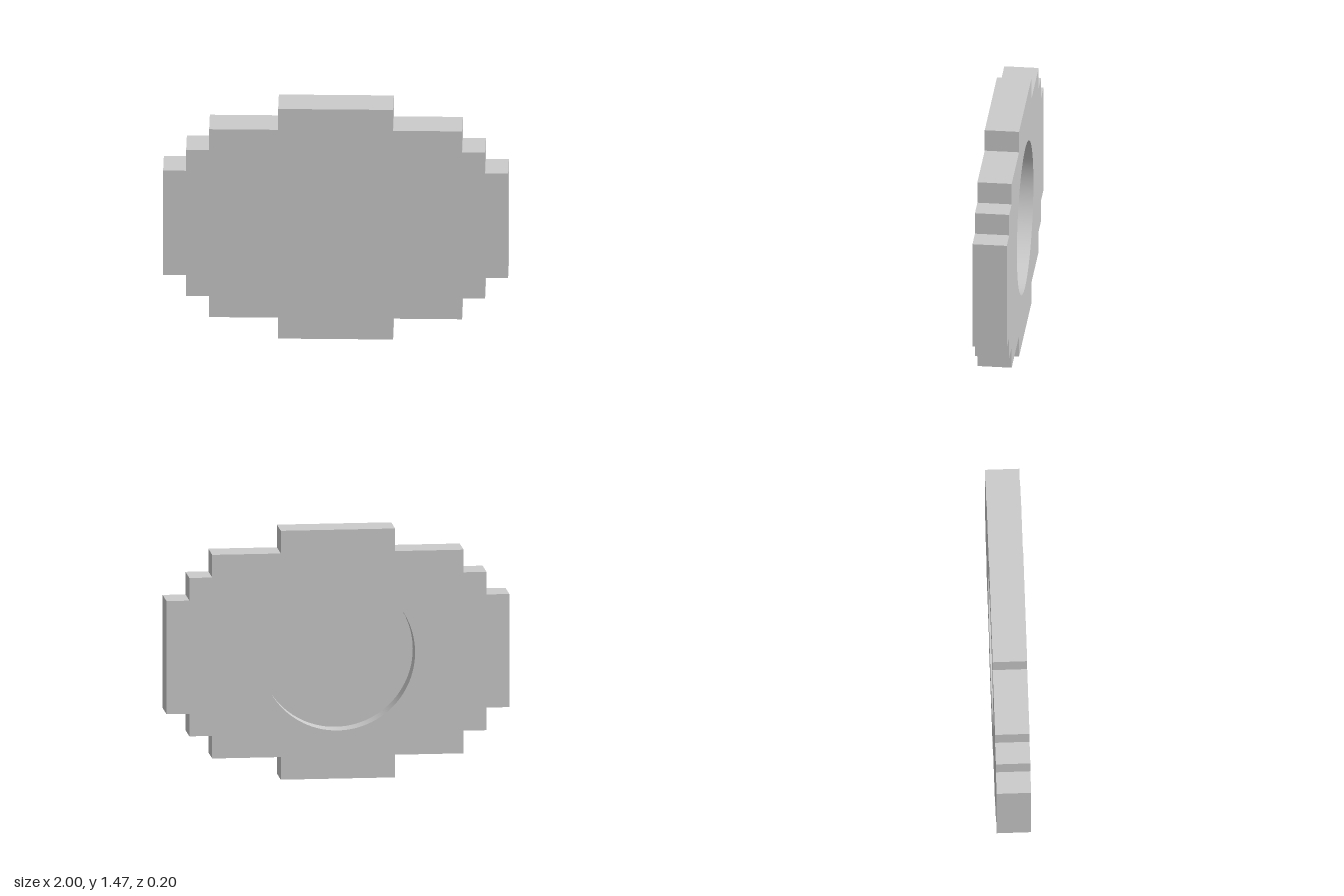
import * as THREE from 'three';

const U = 2 / 15;          // one step of the outline
const HALF = 0.1;          // half thickness
const RADIUS = 0.45;       // round pocket in the back
const DEPTH = 0.12;
const SEGMENTS = 96;

// Stepped outline, counter-clockwise: one quarter mirrored into four
function outlinePoints() {
  const quarter = [[7.5, 2.5], [6.5, 2.5], [6.5, 3.5], [5.5, 3.5], [5.5, 4.5], [2.5, 4.5], [2.5, 5.5]];
  const half = [...quarter, ...quarter.map(([x, y]) => [-x, y]).reverse()];
  return [...half, ...half.map(([x, y]) => [-x, -y])].map(([x, y]) => new THREE.Vector2(x * U, y * U));
}

// One flat wall for each edge of the outline
function rimGeometry(points) {
  const positions = [];
  points.forEach((a, i) => {
    const b = points[(i + 1) % points.length];
    const corners = [[a.x, a.y, -HALF], [b.x, b.y, -HALF], [b.x, b.y, HALF], [a.x, a.y, HALF]];
    for (const k of [0, 1, 2, 0, 2, 3]) positions.push(...corners[k]);
  });
  const geometry = new THREE.BufferGeometry();
  geometry.setAttribute('position', new THREE.Float32BufferAttribute(positions, 3));
  geometry.computeVertexNormals();
  return geometry;
}

export function createModel() {
  const group = new THREE.Group();
  group.name = 'steppedPlate';
  const material = new THREE.MeshStandardMaterial({ color: 0xcccccc });
  const openMaterial = new THREE.MeshStandardMaterial({ color: 0xcccccc, side: THREE.DoubleSide });

  const add = (name, geometry, z = 0, mat = material) => {
    const mesh = new THREE.Mesh(geometry, mat);
    mesh.name = name;
    mesh.position.set(0, 5.5 * U, z);
    group.add(mesh);
  };

  // Plate: plain front, stepped rim, back with a round opening
  const points = outlinePoints();
  add('frontFace', new THREE.ShapeGeometry(new THREE.Shape(points)), HALF);
  add('rim', rimGeometry(points));

  const backShape = new THREE.Shape(points);
  backShape.holes.push(new THREE.Path().absarc(0, 0, RADIUS, 0, Math.PI * 2, true));
  add('backFace', new THREE.ShapeGeometry(backShape, SEGMENTS / 2).rotateY(Math.PI), -HALF);

  // Blind round pocket, open to the back
  const wall = new THREE.CylinderGeometry(RADIUS, RADIUS, DEPTH, SEGMENTS, 1, true).rotateX(Math.PI / 2);
  add('pocketWall', wall, -HALF + DEPTH / 2, openMaterial);
  add('pocketFloor', new THREE.CircleGeometry(RADIUS, SEGMENTS).rotateY(Math.PI), -HALF + DEPTH);

  return group;
}
